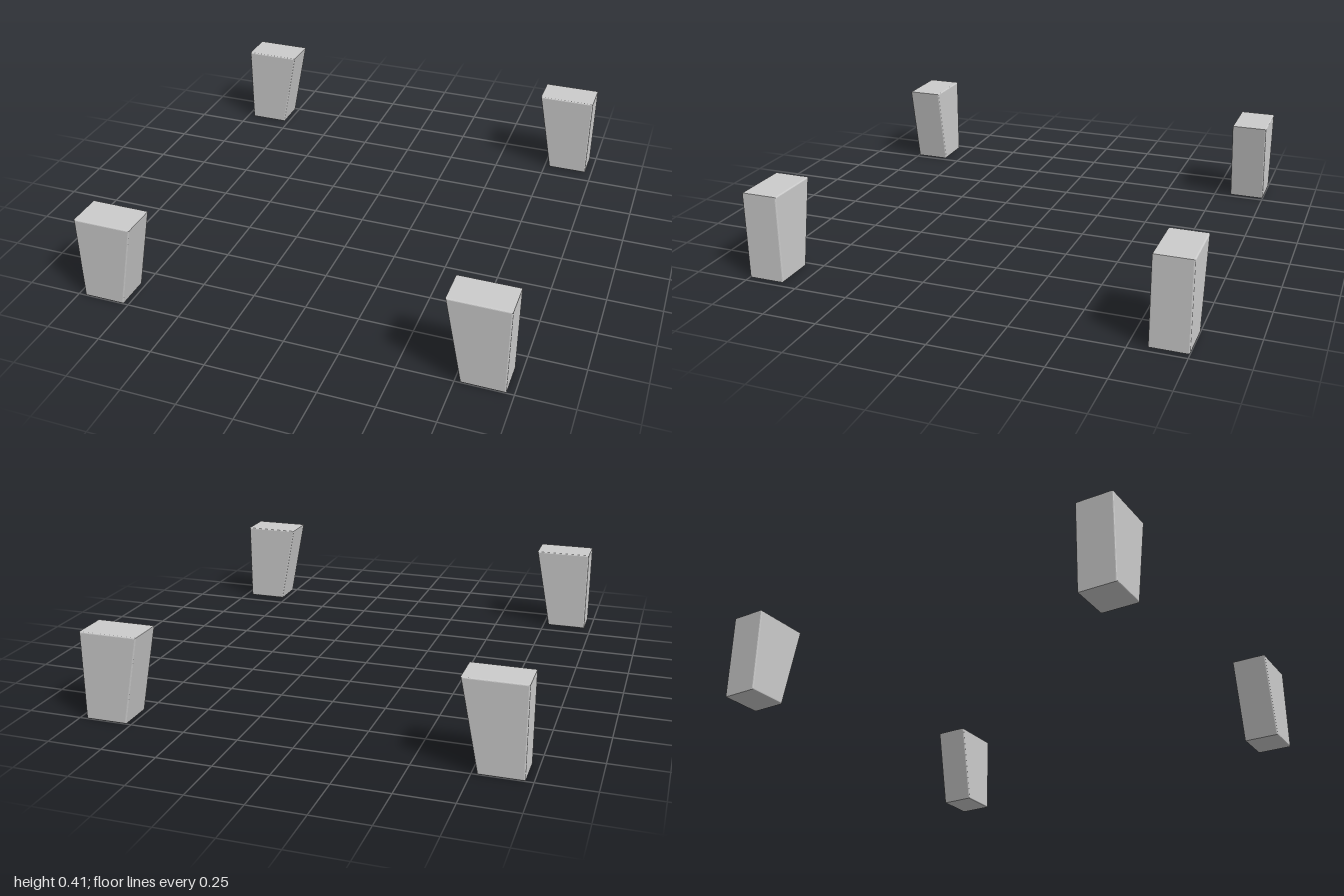
import * as THREE from 'three';

const OUTER = 0.966, INNER_TOP = 0.696, INNER_BOTTOM = 0.775;
const HEIGHT = 0.405, DEPTH = 0.17, BEVEL = 0.006;

// Leg profile: straight outer side, inner side tapering towards the floor
function legGeometry(side) {
  const profile = new THREE.Shape([
    [INNER_BOTTOM, 0], [OUTER, 0], [OUTER, HEIGHT], [INNER_TOP, HEIGHT],
  ].map(([x, y]) => new THREE.Vector2(side * x, y)));

  // Softened front and back edges
  const geometry = new THREE.ExtrudeGeometry(profile, {
    depth: DEPTH - 2 * BEVEL,
    bevelEnabled: true,
    bevelThickness: BEVEL,
    bevelSize: BEVEL,
    bevelOffset: -BEVEL,
    bevelSegments: 3,
  });
  return geometry.translate(0, 0, BEVEL - DEPTH / 2);
}

export function createModel() {
  const model = new THREE.Group();
  model.name = 'taperedLegs';
  const material = new THREE.MeshStandardMaterial({ color: 0xcccccc });

  // One leg at each corner
  for (const [sideName, side] of [['Left', 1], ['Right', -1]]) {
    const geometry = legGeometry(side);
    for (const [endName, end] of [['front', 1], ['back', -1]]) {
      const leg = new THREE.Mesh(geometry, material);
      leg.name = `${endName}${sideName}Leg`;
      leg.position.z = end * (1 - DEPTH / 2);
      model.add(leg);
    }
  }
  return model;
}
